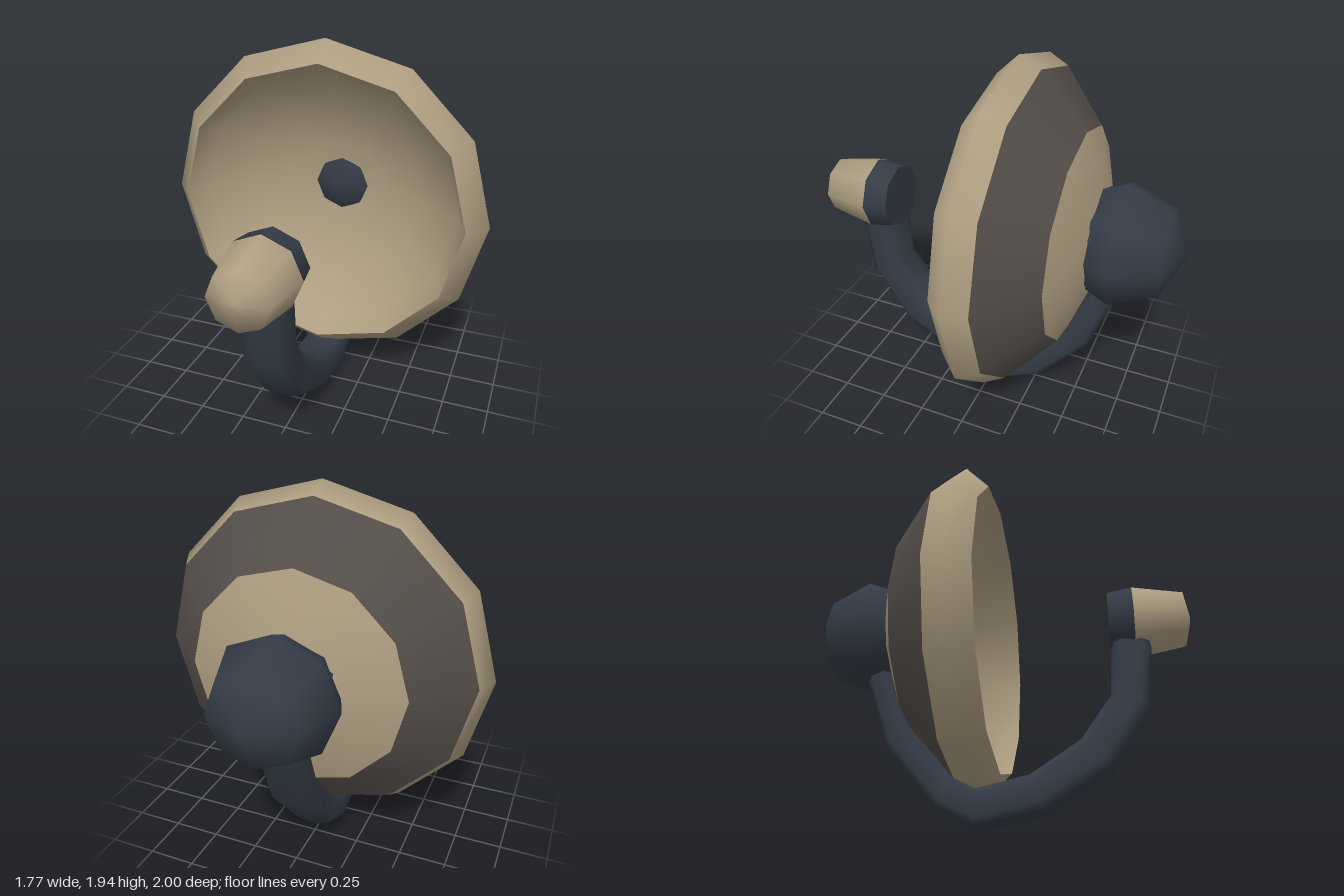
import * as THREE from 'three';

const tan = new THREE.MeshStandardMaterial({ color: 0xae9e81 });
tan.name = 'tan';
const brown = new THREE.MeshStandardMaterial({ color: 0x544e49 });
brown.name = 'darkBrown';
const slate = new THREE.MeshStandardMaterial({ color: 0x343c46 });
slate.name = 'slate';

// Lathe around the z axis: profile is [radius, z], back to front on outer faces
function turned(name, material, sides, y, profile) {
  const geometry = new THREE.LatheGeometry(
    profile.map(([r, z]) => new THREE.Vector2(r, z)), sides);
  geometry.rotateX(Math.PI / 2);
  const mesh = new THREE.Mesh(geometry, material);
  mesh.name = name;
  mesh.position.y = y;
  return mesh;
}

// Arm: rings spanning an inner and an outer line of [y, z] points
function armGeometry() {
  const outer = [[1, 0.8], [0.57, 0.752], [0.27, 0.56], [0.068, 0.22],
    [0.003, -0.11], [0.1, -0.305], [0.42, -0.575], [0.9, -0.74]];
  const inner = [[1, 0.59], [0.65, 0.567], [0.42, 0.4], [0.26, 0.15],
    [0.205, -0.11], [0.26, -0.22], [0.53, -0.45], [0.9, -0.59]];
  // Rounded section: [x, share of the way from inner to outer]
  const section = [[-0.035, 1], [0.035, 1], [0.09, 0.94], [0.12, 0.75], [0.12, 0.25], [0.09, 0.06],
    [0.035, 0], [-0.035, 0], [-0.09, 0.06], [-0.12, 0.25], [-0.12, 0.75], [-0.09, 0.94]];
  const count = section.length;
  const positions = [], indices = [];
  outer.forEach(([oy, oz], i) => {
    const [iy, iz] = inner[i];
    section.forEach(([x, s], k) => {
      positions.push(x, iy + (oy - iy) * s, iz + (oz - iz) * s);
      if (i === outer.length - 1) return;
      const a = i * count + k, b = i * count + (k + 1) % count;
      indices.push(a, a + count, b, b, a + count, b + count);
    });
  });
  const geometry = new THREE.BufferGeometry();
  geometry.setAttribute('position', new THREE.Float32BufferAttribute(positions, 3));
  geometry.setIndex(indices);
  geometry.computeVertexNormals();
  return geometry;
}

export function createModel() {
  const model = new THREE.Group();
  model.name = 'dishAntenna';

  // Dish: outer bands, rolled rim and hollow bowl
  const dish = new THREE.Group();
  dish.name = 'dish';
  const dishY = 1.06;
  dish.add(
    turned('backCap', tan, 12, dishY, [[0, -0.58], [0.27, -0.56], [0.56, -0.455]]),
    turned('darkBand', brown, 12, dishY, [[0.56, -0.455], [0.83, -0.22]]),
    turned('rim', tan, 12, dishY, [[0.83, -0.22], [0.887, -0.11], [0.783, 0]]),
    turned('bowl', tan, 12, dishY,
      [[0.783, 0], [0.72, -0.14], [0.5, -0.32], [0.25, -0.41], [0, -0.43]]),
  );
  model.add(dish);

  // Rear ball joint, poking through the bowl, with a six-sided collar
  const joint = new THREE.Group();
  joint.name = 'ballJoint';
  const ball = new THREE.Mesh(new THREE.SphereGeometry(0.323, 8, 4).rotateX(Math.PI / 2), slate);
  ball.name = 'ball';
  ball.position.set(0, 1.07, -0.677);
  joint.add(
    ball,
    turned('collar', slate, 6, dishY, [[0.2, -0.6], [0.27, -0.6], [0.27, -0.55]]),
  );
  model.add(joint);

  // Curved arm sweeping under the dish
  const arm = new THREE.Mesh(armGeometry(), slate);
  arm.name = 'arm';
  model.add(arm);

  // Receiver at the front end of the arm
  const receiver = new THREE.Group();
  receiver.name = 'receiver';
  receiver.add(
    turned('receiverBack', slate, 8, 1.055, [[0, 0.58], [0.178, 0.58]]),
    turned('receiverRing', slate, 8, 1.055, [[0.178, 0.58], [0.197, 0.708]]),
    turned('receiverNose', tan, 8, 1.055, [[0.197, 0.708], [0.15, 0.965], [0.02, 0.998], [0, 1]]),
  );
  model.add(receiver);

  return model;
}
